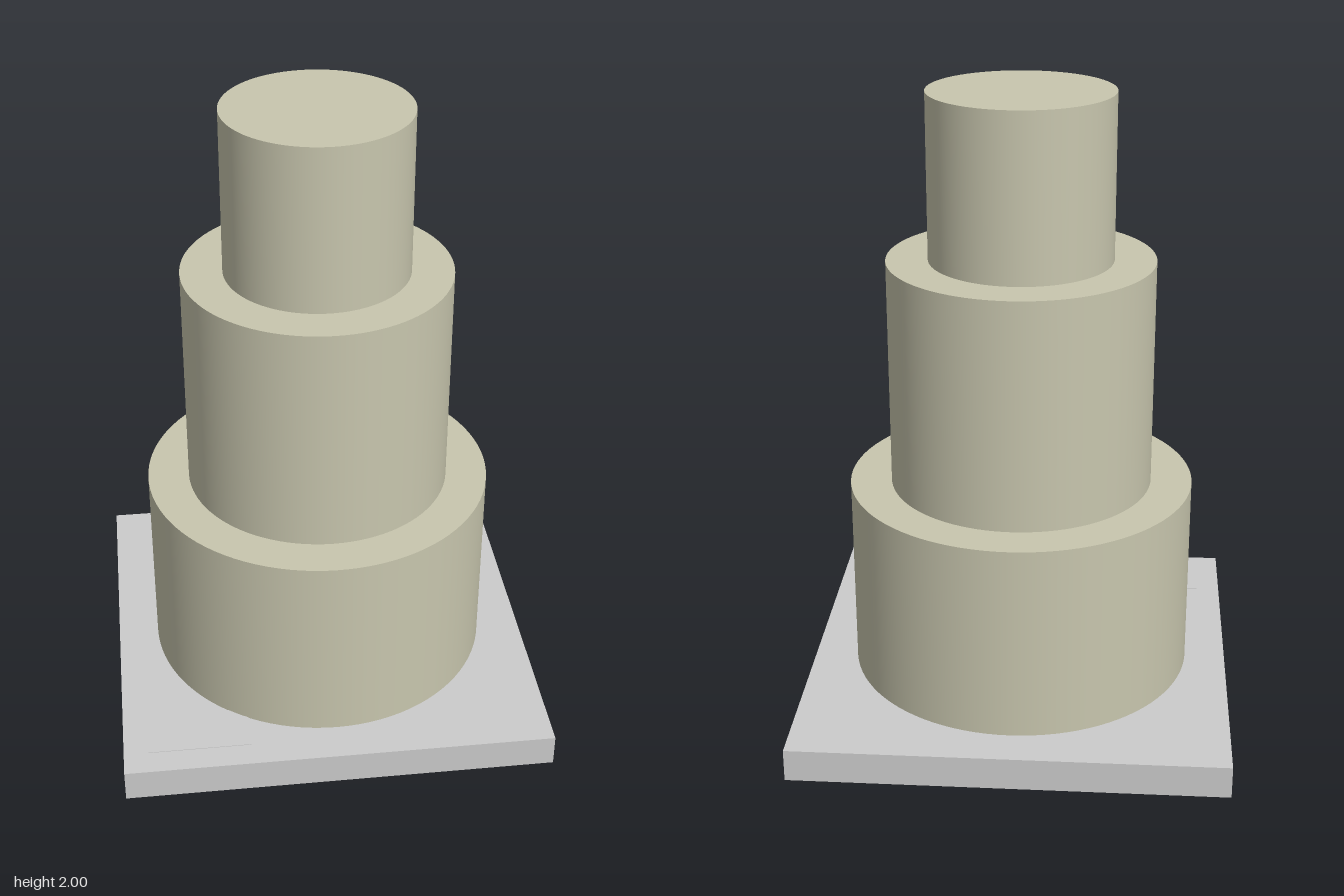
import * as THREE from 'three';

export function createModel() {
  const model = new THREE.Group();
  const icing = new THREE.MeshStandardMaterial({ color: 0xc8c6ae });
  const grey = new THREE.MeshStandardMaterial({ color: 0xcccccc });

  const add = (name, geometry, material, x, y, z) => {
    const mesh = new THREE.Mesh(geometry, material);
    mesh.name = name;
    mesh.position.set(x, y, z);
    model.add(mesh);
  };

  // Square cake board
  const boardTop = 0.105;
  add('board', new THREE.BoxGeometry(1.366, boardTop, 1.366), grey, 0, boardTop / 2, 0);

  // Blank label lying on the board, tucked under the bottom tier
  add('label', new THREE.BoxGeometry(0.325, 0.002, 0.165), grey, -0.442, boardTop + 0.001, 0.517);

  // Three round tiers, stacked: name, radius, bottom, top
  const tiers = [
    ['bottomTier', 0.552, boardTop, 0.74],
    ['middleTier', 0.42, 0.74, 1.477],
    ['topTier', 0.289, 1.477, 2],
  ];
  for (const [name, radius, bottom, top] of tiers) {
    const geometry = new THREE.CylinderGeometry(radius, radius, top - bottom, 96);
    add(name, geometry, icing, 0, (bottom + top) / 2, 0);
  }

  return model;
}
